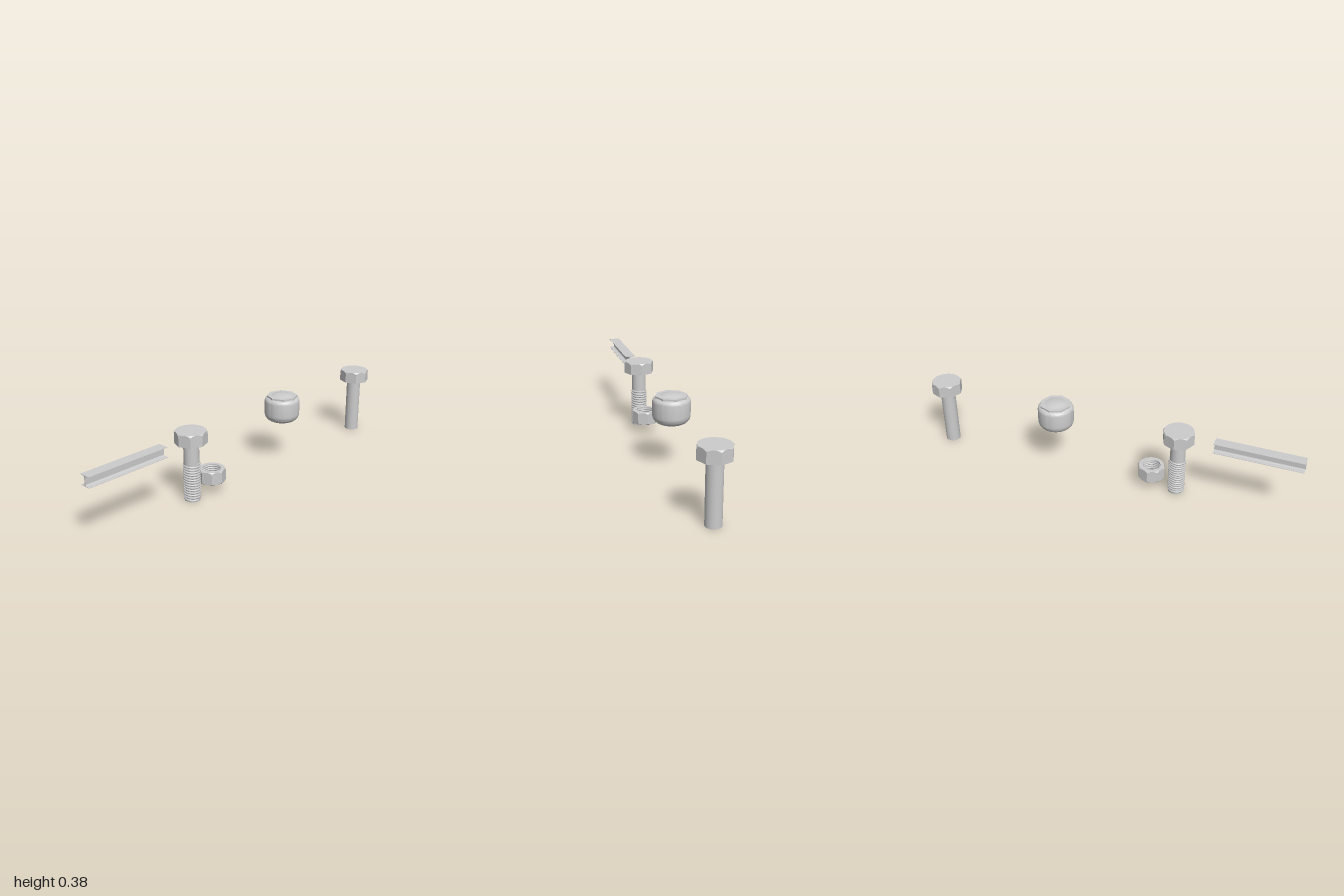
import * as THREE from 'three';
import { toCreasedNormals } from 'three/addons/utils/BufferGeometryUtils.js';

const material = new THREE.MeshStandardMaterial({ color: 0xcccccc });
const SIDES = 8;

function addMesh(parent, name, geometry, y = 0) {
  const mesh = new THREE.Mesh(geometry, material);
  mesh.name = name;
  mesh.position.y = y;
  parent.add(mesh);
  return mesh;
}

function addGroup(parent, name, z) {
  const group = new THREE.Group();
  group.name = name;
  group.position.z = z;
  parent.add(group);
  return group;
}

const lathe = (points, segments = 64) =>
  new THREE.LatheGeometry(points.map(([r, y]) => new THREE.Vector2(r, y)), segments);

// Octagonal prism, optionally drilled, with round chamfers that leave scalloped faces
function octagon(radius, y0, y1, { hole = 0, bottom = 0, top = 0 } = {}) {
  const apothem = radius * Math.cos(Math.PI / SIDES);
  const points = [[hole, y0], [apothem, y0], [radius, y0], [radius, y1], [apothem, y1], [hole, y1]];
  if (hole) points.push([hole, y0]);
  const geometry = lathe(points);
  const p = geometry.attributes.position;
  const sector = (2 * Math.PI) / SIDES;
  for (let i = 0; i < p.count; i++) {
    const r = Math.hypot(p.getX(i), p.getZ(i));
    if (r < radius - 1e-5) continue;
    const angle = Math.atan2(p.getX(i), p.getZ(i)) + 2 * Math.PI + 1e-7;
    const edge = apothem / Math.cos((angle % sector) - sector / 2);
    const drop = (edge - apothem) / (radius - apothem);
    const low = p.getY(i) < (y0 + y1) / 2;
    p.setXYZ(i, p.getX(i) * edge / r, p.getY(i) + drop * (low ? bottom : -top), p.getZ(i) * edge / r);
  }
  return toCreasedNormals(geometry, 0.4);
}

// Rounded thread ridge
class Helix extends THREE.Curve {
  constructor(radius, y0, y1, turns) {
    super();
    Object.assign(this, { radius, y0, y1, turns });
  }
  getPoint(t, target = new THREE.Vector3()) {
    const a = t * this.turns * 2 * Math.PI;
    return target.set(
      this.radius * Math.cos(a), this.y0 + (this.y1 - this.y0) * t, this.radius * Math.sin(a));
  }
}

const thread = (radius, y0, y1, turns) =>
  new THREE.TubeGeometry(new Helix(radius, y0, y1, turns), turns * 32, 0.005, 8);

function addBolt(parent, name, z) {
  const bolt = addGroup(parent, name, z);
  addMesh(bolt, 'boltHead', octagon(0.08, 0.3, 0.362, { top: 0.009 }));
  addMesh(bolt, 'boltShaft', new THREE.CylinderGeometry(0.038, 0.038, 0.3, 40), 0.15);
  return bolt;
}

export function createModel() {
  const model = new THREE.Group();
  model.name = 'fasteners';

  // Bolts
  addBolt(model, 'plainBolt', -0.92);
  const bolt = addBolt(model, 'threadedBolt', 0.382);
  addMesh(bolt, 'boltThread', thread(0.038, 0.008, 0.195, 14));

  // Nut
  const nut = addGroup(model, 'nut', 0.248);
  addMesh(nut, 'nutBody', octagon(0.069, 0.056, 0.123, { hole: 0.045, bottom: 0.007, top: 0.007 }));
  addMesh(nut, 'nutThread', thread(0.046, 0.061, 0.118, 5));

  // Domed cap: rounded body, octagonal rim, shallow crown
  const cap = addGroup(model, 'cap', -0.278);
  const body = new THREE.Path();
  body.moveTo(0, 0.225);
  body.lineTo(0.035, 0.226);
  body.bezierCurveTo(0.07, 0.229, 0.092, 0.245, 0.092, 0.275);
  body.lineTo(0.092, 0.335);
  body.bezierCurveTo(0.092, 0.35, 0.083, 0.36, 0.066, 0.361);
  body.lineTo(0, 0.361);
  addMesh(cap, 'capBody', toCreasedNormals(
    new THREE.LatheGeometry(body.getPoints(10), 64), 0.5));
  addMesh(cap, 'capRim', octagon(0.08, 0.335, 0.368));
  const crown = [];
  for (let i = 0; i <= 8; i++) {
    const r = 0.056 * (1 - i / 8);
    crown.push([r, 0.368 + 0.009 * (1 - (r / 0.056) ** 2)]);
  }
  addMesh(cap, 'capCrown', lathe(crown));

  // Beam with tapered flanges
  const quarter = [[0.0285, 0.026], [0.0285, 0.0245], [0.008, 0.0225], [0.004, 0.0205], [0.0025, 0.017]];
  const flip = (sx, sy, list) => list.map(([x, y]) => new THREE.Vector2(x * sx, y * sy));
  const reversed = [...quarter].reverse();
  const outline = new THREE.Shape([
    ...flip(1, 1, quarter), ...flip(1, -1, reversed),
    ...flip(-1, -1, quarter), ...flip(-1, 1, reversed),
  ]);
  const beam = addMesh(model, 'beam',
    new THREE.ExtrudeGeometry(outline, { depth: 0.44, bevelEnabled: false }), 0.315);
  beam.position.x = 0.007;
  beam.position.z = 0.56;

  return model;
}
